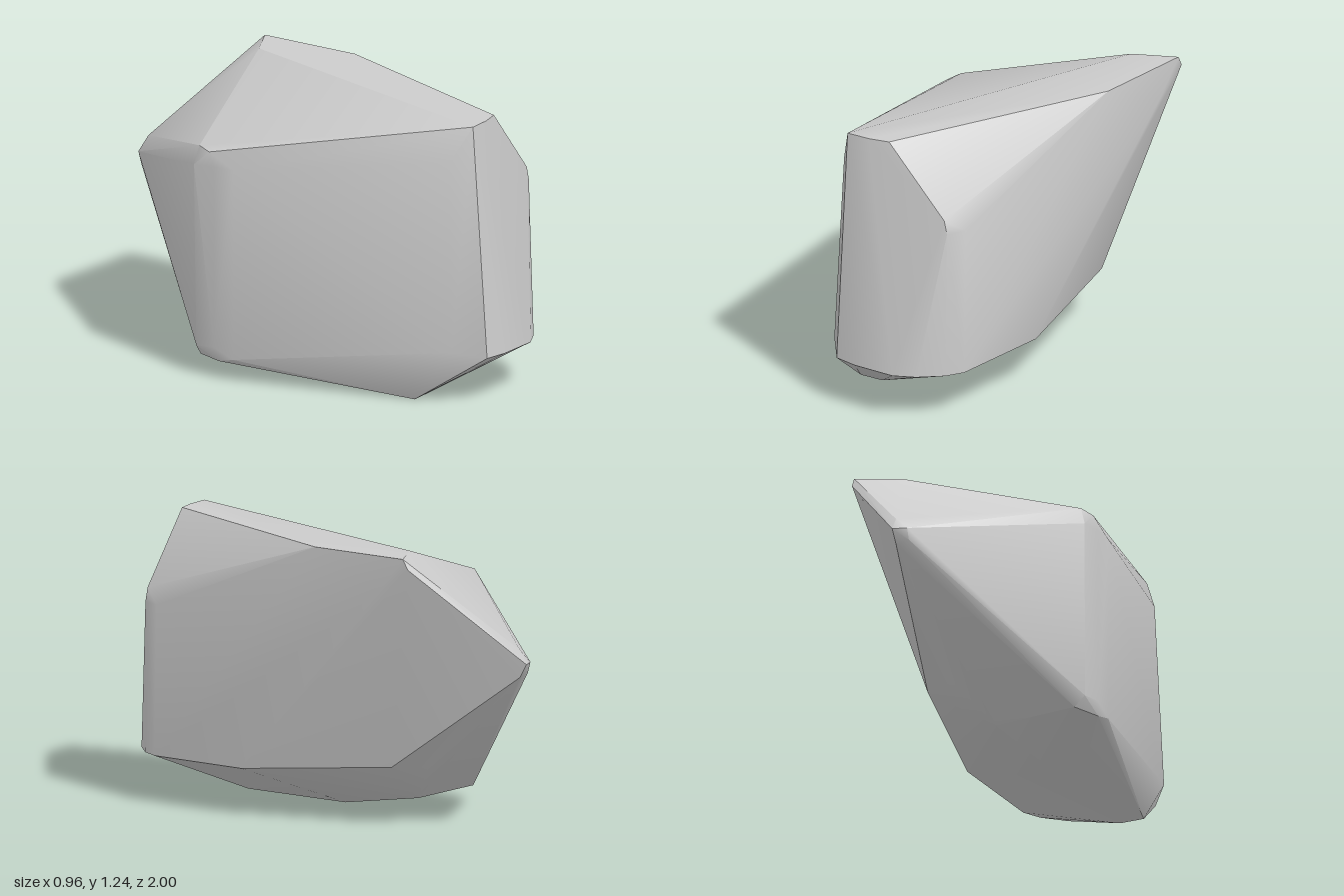
import * as THREE from 'three';
import { ConvexGeometry } from 'three/addons/geometries/ConvexGeometry.js';
import { toCreasedNormals } from 'three/addons/utils/BufferGeometryUtils.js';

export function createModel() {
  const group = new THREE.Group();
  group.name = 'boulder';
  const stone = new THREE.MeshStandardMaterial({ color: 0xcccccc });
  stone.name = 'stone grey';

  // Corner clusters of the chiselled rock, as [x, y, z]
  const top = [
    [-0.11, 1.235, 0.91], [0, 1.235, 0.9], [0.09, 1.235, 0.875],
    [0.478, 1.235, -0.15], [0.48, 1.235, -0.63], [0.3, 1.235, -0.53],
    [0.48, 1.08, -0.5], [0.477, 1.19, -0.655],
  ];
  const backTip = [
    [0.09, 0.76, -1], [0.09, 0.82, -0.965], [0.055, 0.792, -0.963],
    [0.03, 0.76, -0.975], [0.03, 0.71, -0.96], [0.09, 0.7, -0.965],
  ];
  const leftRidge = [
    [-0.45, 1.022, -0.298], [-0.473, 1.01, -0.23], [-0.475, 0.94, -0.31],
    [-0.48, 0.95, -0.2], [-0.475, 0.95, -0.1],
    [-0.475, 0.1, -0.1], [-0.48, 0.14, -0.2], [-0.47, 0.13, -0.3],
    [-0.47, 0.08, -0.18], [-0.425, 0.08, -0.31],
  ];
  const front = [
    [-0.185, 1.08, 0.84], [-0.215, 0.24, 0.87],
    [0.37, 0.93, 0.845], [0.385, 0.87, 0.845], [0.418, 0.87, 0.76],
  ];
  // Rounded lower front lip, all at one height
  const lip = [
    [-0.11, 0.985], [0, 1], [0.2, 0.99], [0.29, 0.94], [0.38, 0.85], [0.42, 0.77], [0.43, 0.29],
  ].map(([x, z]) => [x, 0.21, z]);
  const underside = [
    [-0.22, 0, 0.68], [-0.11, 0, 0.67], [-0.11, 0, 0.14], [-0.2, 0, 0.16], [-0.04, 0.08, -0.31],
    [0.25, 0.265, -0.39], [0.155, 0.27, -0.44], [0.09, 0.25, -0.465],
  ];

  const corners = [top, backTip, leftRidge, front, lip, underside].flat();
  const hull = new ConvexGeometry(corners.map((p) => new THREE.Vector3(...p)));
  const rock = new THREE.Mesh(toCreasedNormals(hull, 0.6), stone);
  rock.name = 'rock';
  group.add(rock);
  return group;
}
